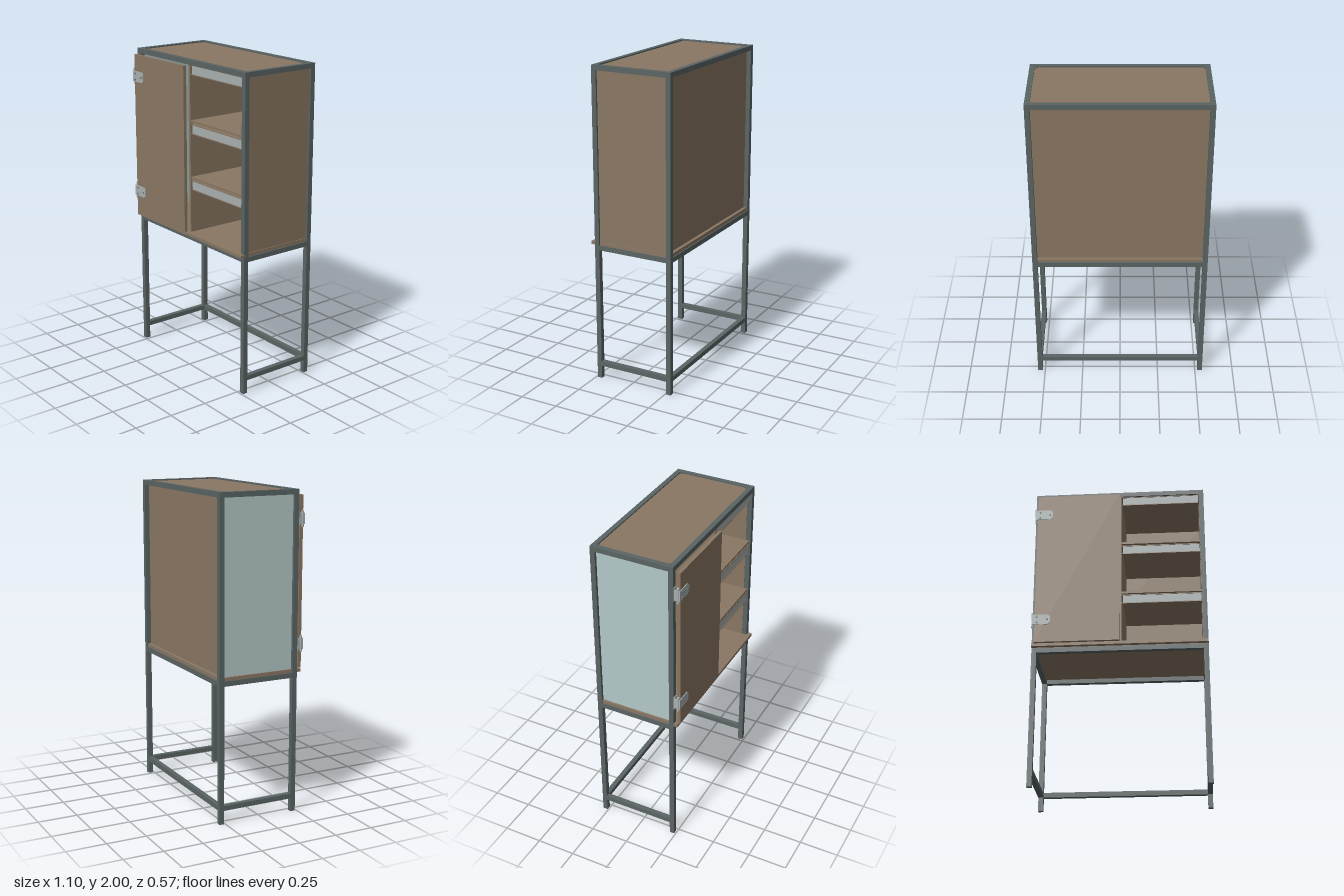
import * as THREE from 'three';

const material = (name, color, side = THREE.FrontSide) => {
  const m = new THREE.MeshStandardMaterial({ color, side });
  m.name = name;
  return m;
};

export function createModel() {
  const model = new THREE.Group();
  model.name = 'cabinetOnStand';
  const steel = material('paintedSteel', 0x5b6464);
  const wood = material('brownBoard', 0x8a7763);
  const glass = material('paleGlass', 0xb4c8c8);
  const metal = material('brightMetal', 0xa9b0b0);
  const dark = material('screwSteel', 0x6e7676);

  // Box given by its limits on each axis
  const box = (name, mat, x0, x1, y0, y1, z0, z1, parent = model) => {
    const m = new THREE.Mesh(new THREE.BoxGeometry(x1 - x0, y1 - y0, z1 - z0), mat);
    m.position.set((x0 + x1) / 2, (y0 + y1) / 2, (z0 + z1) / 2);
    m.name = name;
    parent.add(m);
    return m;
  };
  const cylinder = (name, mat, r, h, x, y, z, parent) => {
    const m = new THREE.Mesh(new THREE.CylinderGeometry(r, r, h, 16), mat);
    m.position.set(x, y, z);
    m.name = name;
    parent.add(m);
    return m;
  };
  // Flat plate drawn in x and z, with its underside at y
  const plate = (name, mat, points, y, h) => {
    const shape = new THREE.Shape(points.map(([x, z]) => new THREE.Vector2(x, -z)));
    const g = new THREE.ExtrudeGeometry(shape, { depth: h, bevelEnabled: false });
    const m = new THREE.Mesh(g.rotateX(-Math.PI / 2), mat);
    m.position.y = y;
    m.name = name;
    model.add(m);
  };

  const X = 0.547, F = 0.24, B = -0.288, T = 0.031;
  const xi = X - T, zf = F - T, zb = B + T;

  // Steel frame: posts, upper rails, middle rails and an open-fronted foot rail
  for (const s of [-1, 1]) {
    const a = s < 0 ? -X : xi;
    box('frontPost', steel, a, a + T, 0, 2, zf, F);
    box('backPost', steel, a, a + T, 0, 2, B, zb);
    for (const y of [0.085, 0.86, 2 - T]) box('sideRail', steel, a, a + T, y, y + T, zb, zf);
  }
  for (const y of [0.085, 0.86, 2 - T]) box('backRail', steel, -xi, xi, y, y + T, B, zb);
  for (const y of [0.86, 2 - T]) box('frontRail', steel, -xi, xi, y, y + T, zf, F);

  // Top board with cut corners and corner gussets
  const c = 0.026;
  plate('topBoard', wood, [
    [-xi + c, zf], [xi - c, zf], [xi, zf - c], [xi, zb + c],
    [xi - c, zb], [-xi + c, zb], [-xi, zb + c], [-xi, zf - c],
  ], 1.97, 0.022);
  for (const s of [-1, 1]) {
    for (const [z, d] of [[zf, -c], [zb, c]]) {
      plate('cornerGusset', steel, [[s * xi, z], [s * (xi - c), z], [s * xi, z + d]], 1.97, 0.024);
    }
  }

  // Cabinet boards
  box('bottomBoard', wood, -0.54, 0.54, 0.888, 0.912, -0.28, F);
  box('bottomLip', wood, -X, X, 0.893, 0.912, 0.225, 0.265);
  box('backBoard', wood, -xi, xi, 0.9, 1.97, zb - 0.001, zb + 0.018);
  box('rightBoard', wood, xi - 0.002, X - 0.012, 0.89, 1.97, zb, zf);
  box('glassSide', glass, -X + 0.018, -xi + 0.002, 0.912, 1.97, zb, zf);
  box('divider', wood, -0.005, 0.012, 0.912, 1.97, zb, 0.236);

  // Shelves, each with a metal strip under its front edge
  for (const y of [1.615, 1.257]) box('shelf', wood, 0.012, xi, y, y + 0.014, zb, 0.232);
  for (const y of [1.912, 1.547, 1.192]) {
    box('frontStrip', metal, 0.02, xi - 0.004, y, y + 0.052, 0.218, 0.228);
    box('stripTopBatten', wood, 0.012, xi, y + 0.052, y + 0.058, 0.205, 0.231);
    box('stripBottomBatten', wood, 0.012, xi, y - 0.005, y, 0.205, 0.231);
  }

  // Door with a batten frame on its inner face
  const door = new THREE.Group();
  door.name = 'door';
  model.add(door);
  box('doorPanel', wood, -0.53, 0, 0.915, 1.965, 0.256, 0.277, door);
  for (const x of [-0.47, -0.053]) box('doorStile', wood, x, x + 0.018, 0.93, 1.95, 0.241, 0.256, door);
  for (const y of [0.93, 1.932]) box('doorCrossBatten', wood, -0.452, -0.053, y, y + 0.018, 0.241, 0.256, door);

  // Hinges: rounded leaf on the door, pin, post leaf and screws
  for (const y of [1.825, 1.067]) {
    const hinge = new THREE.Group();
    hinge.name = 'hinge';
    hinge.position.y = y;
    model.add(hinge);
    const leaf = new THREE.Shape([
      [-0.545, -0.034], [-0.448, -0.034], [-0.432, -0.022],
      [-0.432, 0.022], [-0.448, 0.034], [-0.545, 0.034],
    ].map(([x, v]) => new THREE.Vector2(x, v)));
    const m = new THREE.Mesh(new THREE.ExtrudeGeometry(leaf, { depth: 0.005, bevelEnabled: false }), metal);
    m.position.z = 0.277;
    m.name = 'doorLeaf';
    hinge.add(m);
    box('postLeaf', metal, -0.545, -0.52, -0.045, 0.045, 0.24, 0.245, hinge);
    box('leafBend', metal, -0.545, -0.538, -0.034, 0.034, 0.245, 0.278, hinge);
    cylinder('hingePin', metal, 0.008, 0.1, -0.541, 0, 0.268, hinge);
    for (const [x, v] of [[-0.515, 0.02], [-0.515, -0.02], [-0.45, 0]]) {
      cylinder('screw', dark, 0.006, 0.006, x, v, 0.283, hinge).rotation.x = Math.PI / 2;
    }
  }
  return model;
}
